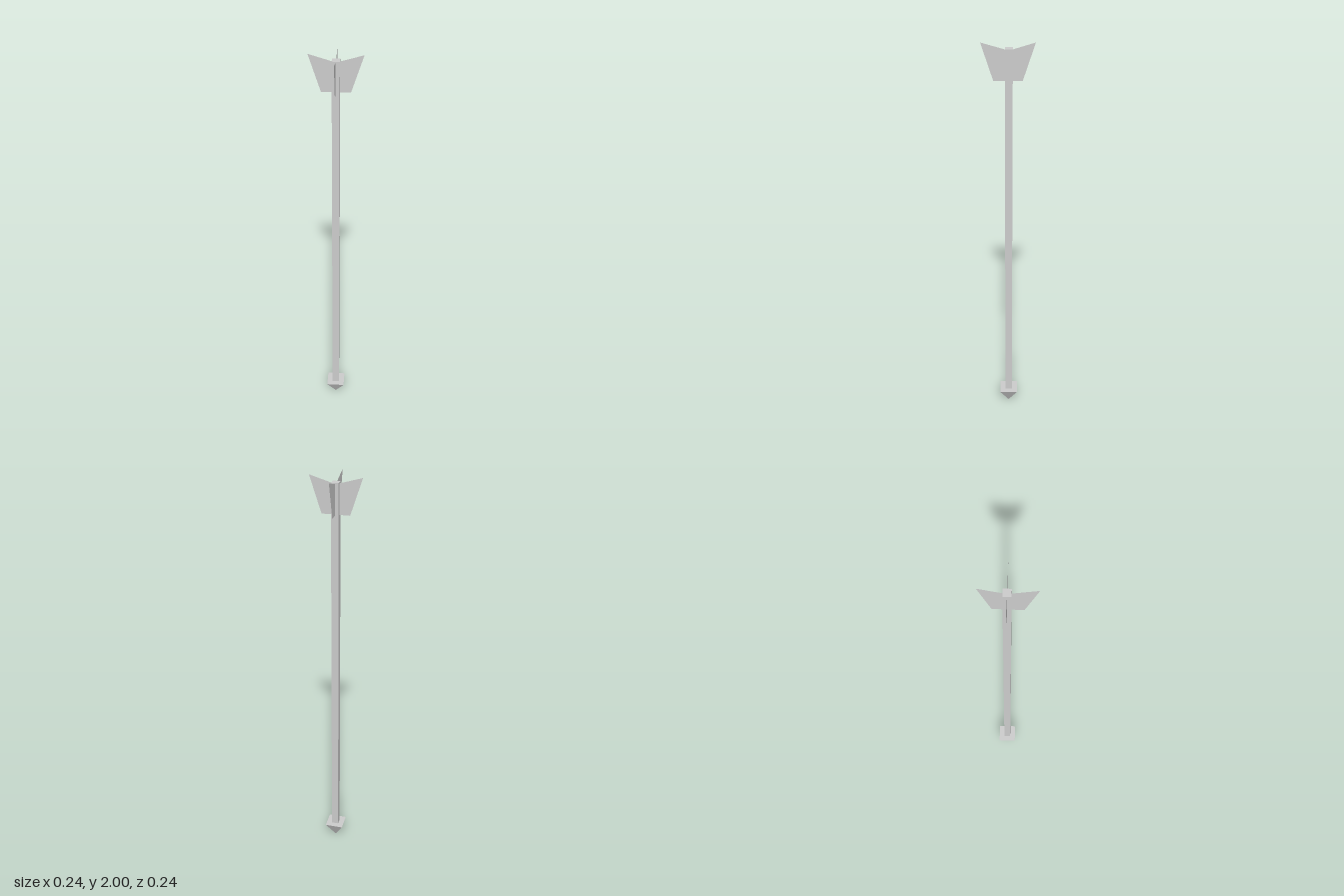
import * as THREE from 'three';

export function createModel() {
  const arrow = new THREE.Group();
  arrow.name = 'arrow';
  const grey = new THREE.MeshStandardMaterial({ color: 0xcccccc, flatShading: true });
  const thin = new THREE.MeshStandardMaterial({ color: 0xcccccc, flatShading: true, side: THREE.DoubleSide });
  const axisZ = -0.0035; // the shaft sits slightly behind the centre
  const half = 0.0173;
  const headTop = 0.09, shaftTop = 1.975;

  const add = (name, geometry, material, y) => {
    const mesh = new THREE.Mesh(geometry, material);
    mesh.name = name;
    mesh.position.set(0, y, axisZ);
    arrow.add(mesh);
    return mesh;
  };

  // Square shaft
  add('shaft', new THREE.BoxGeometry(half * 2, shaftTop - headTop, half * 2), grey, (shaftTop + headTop) / 2);

  // Four-sided pyramid head, point down
  const head = new THREE.CylinderGeometry(0.0455 * Math.SQRT2, 0, headTop, 4);
  head.rotateY(Math.PI / 4);
  add('head', head, grey, headTop / 2);

  // Four thin swept fins; front and back reach z = +-0.12
  const names = ['leftFin', 'backFin', 'rightFin', 'frontFin'];
  const reach = [0.12, 0.12 + axisZ, 0.12, 0.12 - axisZ];
  names.forEach((name, i) => {
    const shape = new THREE.Shape([
      new THREE.Vector2(half, 1.83),
      new THREE.Vector2(reach[i] - 0.055, 1.83),
      new THREE.Vector2(reach[i], 2),
      new THREE.Vector2(half, 1.97),
    ]);
    add(name, new THREE.ShapeGeometry(shape), thin, 0).rotation.y = (i * Math.PI) / 2;
  });

  return arrow;
}
